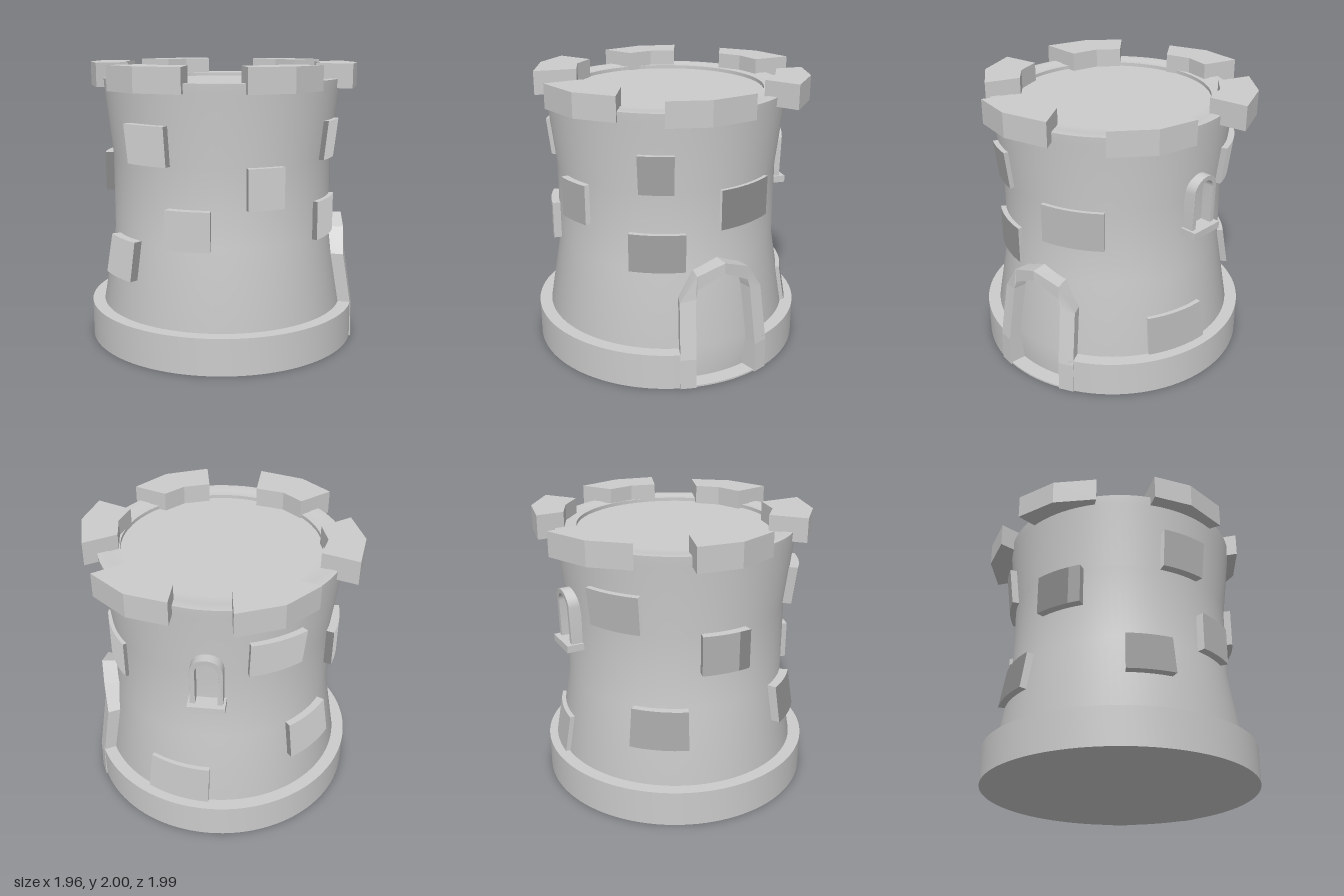
import * as THREE from 'three';
import { toCreasedNormals } from 'three/addons/utils/BufferGeometryUtils.js';

const material = new THREE.MeshStandardMaterial({ color: 0xcccccc });
const CX = -0.008, CZ = 0.02; // tower axis
const rad = THREE.MathUtils.degToRad;

// Outer wall outline as [radius, y]
const WALL = [[0.86, 0], [0.885, 0.26], [0.793, 0.8], [0.793, 1.35], [0.848, 1.83], [0.852, 1.895]];

// Piecewise-linear wall radius at height y
function wallRadius(y) {
  for (let i = 1; i < WALL.length; i++) {
    const [r0, y0] = WALL[i - 1], [r1, y1] = WALL[i];
    if (y <= y1) return r0 + (r1 - r0) * (y - y0) / (y1 - y0);
  }
  return WALL[WALL.length - 1][0];
}

// Point at an angle round the axis, 0 = front, 90 = left
const polar = (angle, y, r) => [r * Math.sin(rad(angle)), y, r * Math.cos(rad(angle))];

// Move every vertex by a rule (x, y, z) -> [x, y, z]
function remap(geometry, rule) {
  const p = geometry.attributes.position;
  for (let i = 0; i < p.count; i++) p.setXYZ(i, ...rule(p.getX(i), p.getY(i), p.getZ(i)));
  return toCreasedNormals(geometry, 0.5);
}

function lathe(points, start = 0, length = 360) {
  const g = new THREE.LatheGeometry(points.map(([r, y]) => new THREE.Vector2(r, y)), 96, rad(start), rad(length));
  return toCreasedNormals(g, 0.5);
}

export function createModel() {
  const tower = new THREE.Group();
  tower.name = 'tower';
  const add = (name, geometry, x = CX, y = 0, z = CZ) => {
    const mesh = new THREE.Mesh(geometry, material);
    mesh.name = name;
    mesh.position.set(x, y, z);
    tower.add(mesh);
  };

  // Wall with shallow stepped rim and roof floor
  add('wall', lathe([...WALL, [0.785, 1.895], [0.765, 1.89], [0.695, 1.89], [0.695, 1.865], [0, 1.865]]));

  // Ground slab and plinth, the plinth open at the doorway
  add('groundSlab', new THREE.CylinderGeometry(0.974, 0.974, 0.012, 96), CX, 0.006);
  add('plinth', lathe([[0.84, 0], [0.975, 0], [0.975, 0.26], [0.84, 0.26]], 117, 322));

  // Battlements: hand-cut three-sided blocks, outlines as x, z
  const merlons = [
    [0.88, -0.31, 0.965, 0.01, 0.91, 0.30, 0.66, 0.20, 0.705, 0.02, 0.67, -0.17],
    [-0.94, -0.335, -0.98, -0.03, -0.88, 0.26, -0.68, 0.11, -0.73, -0.07, -0.69, -0.25],
    [-0.20, -1.0, -0.50, -0.87, -0.70, -0.64, -0.47, -0.55, -0.34, -0.67, -0.16, -0.73],
    [0.20, -0.93, 0.48, -0.87, 0.73, -0.67, 0.53, -0.51, 0.38, -0.65, 0.20, -0.735],
    [0.21, 0.92, 0.51, 0.79, 0.695, 0.55, 0.46, 0.46, 0.34, 0.59, 0.16, 0.655],
    [-0.205, 0.93, -0.525, 0.83, -0.73, 0.64, -0.53, 0.46, -0.395, 0.58, -0.195, 0.625],
  ];
  for (const m of merlons) {
    const pts = [];
    for (let i = 0; i < m.length; i += 2) pts.push(new THREE.Vector2(m[i], -m[i + 1]));
    const g = new THREE.ExtrudeGeometry(new THREE.Shape(pts), { depth: 0.17, bevelEnabled: false });
    add('merlon', g.rotateX(-Math.PI / 2), 0, 1.83, 0);
  }

  // Raised stones: start angle, end angle, bottom, top
  const stones = [
    [-43.5, -21, 1.35, 1.62], [-22, -0.5, 0.8, 1.07], [16.5, 34.5, 1.07, 1.35],
    [-62, -40, 0.54, 0.81], [62, 78, 1.35, 1.62], [57, 83.5, 0.8, 1.07],
    [100.5, 131.5, 1.07, 1.35], [151, 180, 0.27, 0.54], [198, 225, 1.35, 1.62],
    [253, 277, 1.07, 1.35], [220, 247, 0.54, 0.81],
  ];
  for (const [a0, a1, y0, y1] of stones) {
    const g = new THREE.BoxGeometry(a1 - a0, y1 - y0, 1, 8, 1, 1);
    g.translate((a0 + a1) / 2, (y0 + y1) / 2, 0);
    remap(g, (a, y, z) => polar(a, y, wallRadius(y) + (z > 0 ? 0.045 : -0.05)));
    add('raisedStone', g, CX - 0.015, 0, CZ + 0.01);
  }

  // Pointed door surround of separate stones, splayed outwards at the foot.
  // Joints: outer angle, outer y, inner angle, inner y, front radius
  const joints = [
    [20, 0, 13.5, 0, 0.985], [20, 0.22, 13.5, 0.22, 0.98], [20, 0.62, 13.2, 0.64, 0.915],
    [12.5, 0.8, 12.3, 0.7, 0.905], [0, 0.87, 0, 0.795, 0.91],
  ];
  for (const side of [-1, 1]) {
    for (let i = 1; i < joints.length; i++) {
      // the left half runs bottom to top, the right half top to bottom
      const ends = side < 0 ? [joints[i - 1], joints[i]] : [joints[i], joints[i - 1]];
      const g = remap(new THREE.BoxGeometry(1, 1, 1), (x, y, z) => {
        const [oa, oy, ia, iy, r] = ends[x < 0 ? 0 : 1];
        const outer = y > 0;
        return polar(99 + side * (outer ? oa : ia), outer ? oy : iy, z > 0 ? r : 0.76);
      });
      add('doorFrameStone', g);
    }
  }

  // Round-headed back window arch, leaning out with the wall
  const arch = new THREE.Shape();
  arch.moveTo(0.11, 1.14);
  arch.lineTo(0.11, 1.42);
  arch.absarc(0, 1.42, 0.11, 0, Math.PI, false);
  arch.lineTo(-0.11, 1.14);
  arch.lineTo(-0.075, 1.14);
  arch.lineTo(-0.075, 1.42);
  arch.absarc(0, 1.42, 0.075, Math.PI, 0, true);
  arch.lineTo(0.075, 1.14);
  const archGeo = new THREE.ExtrudeGeometry(arch, { depth: 0.12, bevelEnabled: false, curveSegments: 8 });
  remap(archGeo, (x, y, z) => [-x, y, -0.745 - z - Math.max(0, y - 1.35) * 0.11]);
  add('windowArch', archGeo, -0.01);
  add('windowSill', new THREE.BoxGeometry(0.255, 0.05, 0.15), -0.01, 1.13, -0.81);

  return tower;
}
